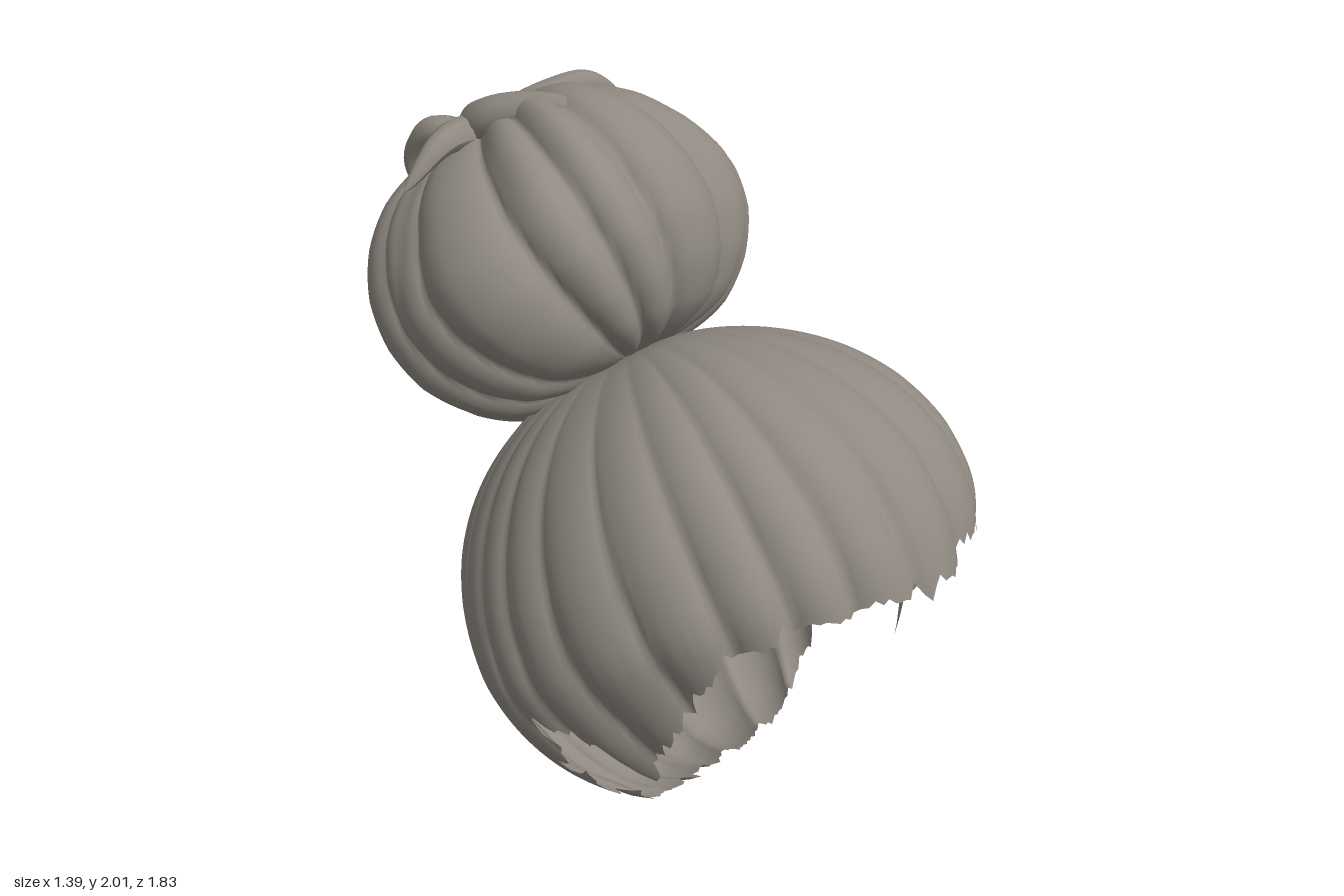
import * as THREE from 'three';

const RAD = Math.PI / 180;
const smoothstep = THREE.MathUtils.smoothstep;
const hair = new THREE.MeshStandardMaterial({ color: 0x8f8981, side: THREE.DoubleSide });
hair.name = 'ash brown hair';

// Linear interpolation through [x, y] pairs
function curve(points, x) {
  if (x <= points[0][0]) return points[0][1];
  for (let i = 1; i < points.length; i++) {
    const [x0, y0] = points[i - 1], [x1, y1] = points[i];
    if (x <= x1) return y0 + (y1 - y0) * (x - x0) / (x1 - x0);
  }
  return points[points.length - 1][1];
}

// Repeatable value in 0..1 for an integer
function hash(n) {
  const s = Math.sin(n * 127.1 + 3.7) * 43758.5453;
  return s - Math.floor(s);
}

// Angle from the front, 0..180 degrees, same on both sides
const fromFront = phi => Math.abs((phi / RAD + 180) % 360 - 180);

// Rounded locks separated by creases, centred on zero
function locks(phi, count, twist) {
  const warp = 0.5 * Math.sin(3 * phi + 1) + 0.4 * Math.sin(5 * phi + 2.3) + twist;
  return Math.pow(Math.abs(Math.sin(count * phi / 2 + warp)), 0.65) - 0.73;
}

// Closed-round shell in polar form about a tilted axis; phi 0 faces forward, 90 faces +x
function shell(name, centre, axis, rows, cols, thetaEnd, radius) {
  const a = axis.clone().normalize();
  const x = new THREE.Vector3(1, 0, 0);
  const f = new THREE.Vector3().crossVectors(x, a);
  const pos = [], index = [];
  for (let i = 0; i <= rows; i++) {
    for (let j = 0; j < cols; j++) {
      const phi = j / cols * Math.PI * 2;
      const theta = (0.5 + (thetaEnd(phi, j) - 0.5) * i / rows) * RAD;
      const r = radius(theta / RAD, phi);
      const p = centre.clone()
        .addScaledVector(a, r * Math.cos(theta))
        .addScaledVector(f, r * Math.sin(theta) * Math.cos(phi))
        .addScaledVector(x, r * Math.sin(theta) * Math.sin(phi));
      pos.push(p.x, p.y, p.z);
      if (i < rows) {
        const k = i * cols + j, n = i * cols + (j + 1) % cols;
        index.push(k, k + cols, n, n, k + cols, n + cols);
      }
    }
  }
  const g = new THREE.BufferGeometry();
  g.setAttribute('position', new THREE.Float32BufferAttribute(pos, 3));
  g.setIndex(index);
  g.computeVertexNormals();
  const mesh = new THREE.Mesh(g, hair);
  mesh.name = name;
  return mesh;
}

// Tapered loose lock along a smooth path
function strand(name, points, width) {
  const path = new THREE.CatmullRomCurve3(points.map(p => new THREE.Vector3(...p)));
  const segs = 24, sides = 10;
  const g = new THREE.TubeGeometry(path, segs, width, sides);
  const pos = g.attributes.position, v = new THREE.Vector3();
  for (let i = 0; i <= segs; i++) {
    const c = path.getPointAt(i / segs);
    const taper = Math.max(0.02, Math.pow(1 - i / segs, 0.6));
    for (let j = 0; j <= sides; j++) {
      const k = i * (sides + 1) + j;
      v.fromBufferAttribute(pos, k).sub(c).multiplyScalar(taper).add(c);
      pos.setXYZ(k, v.x, v.y, v.z);
    }
  }
  g.computeVertexNormals();
  const mesh = new THREE.Mesh(g, hair);
  mesh.name = name;
  return mesh;
}

export function createModel() {
  const group = new THREE.Group();
  group.name = 'hairstyle';

  // Swept-back cap: radius along the front, side and back meridians
  const front = [[0, 0.66], [18, 0.705], [35, 0.74], [49, 0.77], [62, 0.795], [75, 0.81], [88, 0.80], [100, 0.79]];
  const side = [[0, 0.66], [18, 0.68], [45, 0.685], [75, 0.69], [92, 0.685], [110, 0.655], [130, 0.63]];
  const back = [[0, 0.66], [18, 0.695], [40, 0.715], [64, 0.735], [110, 0.745], [136, 0.73], [142, 0.70], [150, 0.64]];
  // Ragged hairline: polar angle reached at each angle around the axis
  const hairline = [[0, 99], [29, 95], [42, 96], [50, 100], [67, 115], [77, 118], [82, 129], [86, 110],
    [92, 104], [100, 99], [105, 109], [110, 114], [138, 141], [160, 146], [180, 147]];
  const capEnd = (phi, j) =>
    curve(hairline, fromFront(phi)) + (hash(j >> 1) - 0.5) * 5 * (j % 2 ? 1 : 0.3);
  const capRadius = (theta, phi) => {
    const c = Math.cos(phi), s = Math.sin(phi);
    const main = curve(c > 0 ? front : back, theta), rs = curve(side, theta);
    const r = 1 / Math.sqrt(c * c / (main * main) + s * s / (rs * rs));
    // the edge hugs the temples
    const pinch = c > 0 ? 0.06 * Math.abs(Math.sin(2 * phi)) * smoothstep(theta, 85, 108) : 0;
    const depth = 0.045 * smoothstep(theta, 8, 95);
    const wave = 0.006 * Math.sin(theta * 0.09 + 4 * phi) * Math.sin(theta * RAD);
    return r * (1 - pinch + depth * locks(phi, 24, 0.5 * Math.sin(theta * 0.03)) + wave);
  };
  group.add(shell('hairCap', new THREE.Vector3(0, 0.72, 0.17), new THREE.Vector3(0, 0.85, -0.52),
    56, 288, capEnd, capRadius));

  // Gathered bun, narrower in front and at the upper shoulders, fuller at the back corners
  const bunProfile = [[0, 0.39], [15, 0.415], [30, 0.45], [45, 0.485], [60, 0.51], [75, 0.527], [90, 0.532],
    [105, 0.525], [120, 0.50], [135, 0.465], [150, 0.41], [165, 0.36], [180, 0.33]];
  const bunFullness = [[0, 0.965], [30, 0.965], [48, 0.955], [72, 0.995], [85, 1.0], [98, 0.97], [112, 1.01],
    [132, 1.035], [152, 1.02], [180, 0.98]];
  const shoulder = [[20, 0], [45, 1], [95, 1], [110, 0]];
  const bunRadius = (theta, phi) => {
    const swell = Math.sin(theta * RAD);
    const twist = 0.7 * Math.sin(theta * 0.025);
    const around = fromFront(phi);
    const full = 1 + (curve(bunFullness, around) - 1) * swell;
    const slope = 1 - 0.07 * curve(shoulder, around) * smoothstep(theta, 15, 45) * (1 - smoothstep(theta, 65, 95));
    return curve(bunProfile, theta) * full * slope *
      (1 + 0.1 * swell * locks(phi, 14, twist) + 0.012 * swell * Math.sin(3 * phi + theta * 0.05));
  };
  group.add(shell('bun', new THREE.Vector3(0, 1.52, -0.42), new THREE.Vector3(0, 0.72, -0.70),
    60, 224, () => 179.5, bunRadius));

  // Knot where the loose ends leave the bun
  const knot = new THREE.Mesh(new THREE.SphereGeometry(0.15, 24, 16), hair);
  knot.name = 'knot';
  knot.scale.set(1.2, 0.4, 1);
  knot.rotation.x = -0.78;
  knot.position.set(0, 1.8, -0.67);
  group.add(knot);

  // Loose ends
  group.add(
    strand('rightLooseEnd', [[0, 1.8, -0.67], [-0.15, 1.86, -0.61], [-0.3, 1.88, -0.56], [-0.44, 1.79, -0.55]], 0.07),
    strand('leftLooseEnd', [[0, 1.81, -0.67], [0.12, 1.89, -0.6], [0.22, 1.92, -0.56], [0.32, 1.88, -0.53]], 0.07),
    strand('frontLooseEnd', [[-0.08, 1.8, -0.67], [-0.14, 1.91, -0.55], [-0.07, 1.96, -0.4], [0.05, 1.94, -0.19]], 0.075),
    strand('backLooseEnd', [[-0.08, 1.79, -0.69], [-0.13, 1.81, -0.79], [-0.15, 1.72, -0.86], [-0.14, 1.58, -0.83]], 0.055)
  );
  return group;
}
